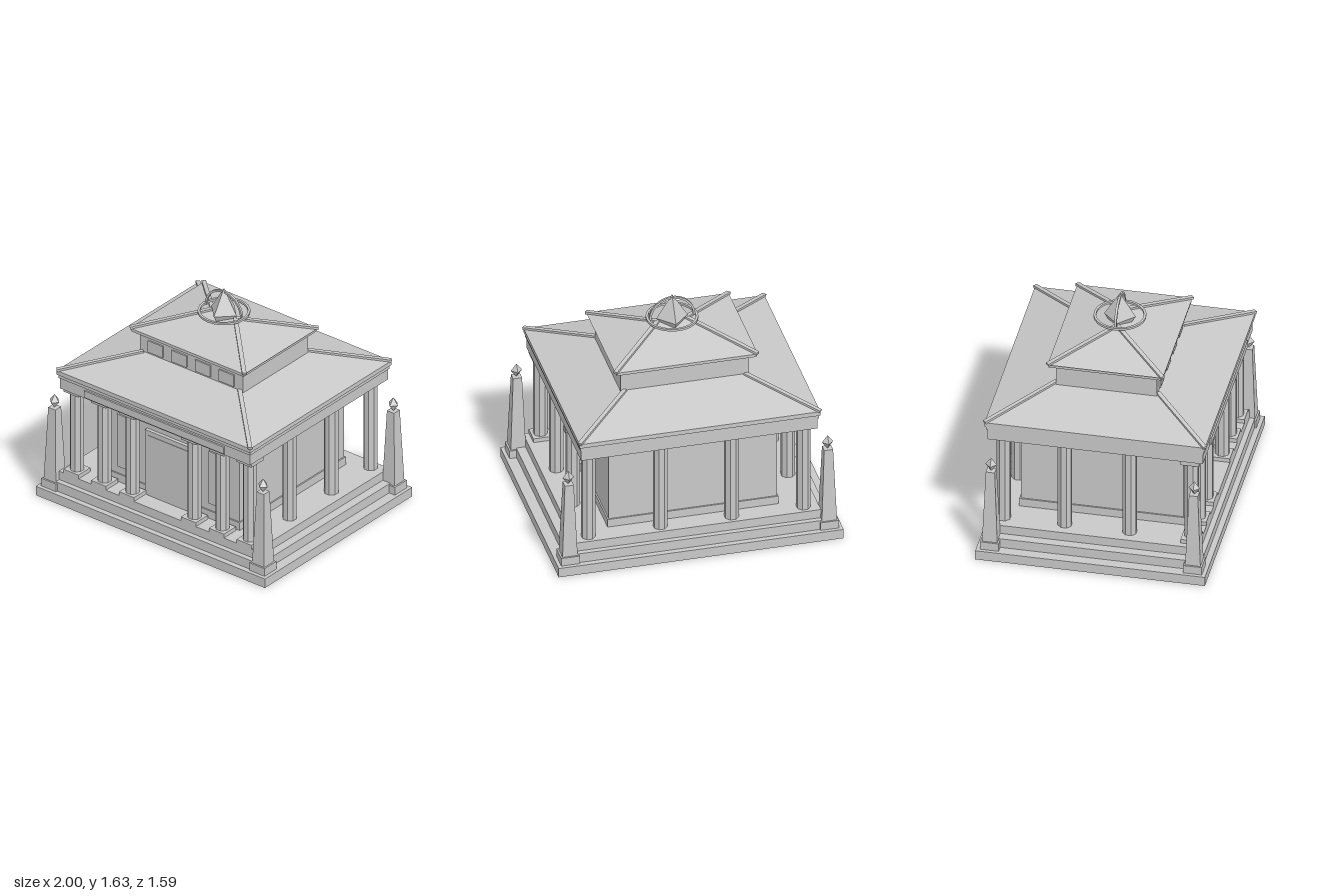
import * as THREE from 'three';

const stone = new THREE.MeshStandardMaterial({ color: 0xc8c8c8, side: THREE.DoubleSide });
stone.name = 'stone';

// Facet a geometry so every face has its own normal
function faceted(geometry) {
  const g = geometry.index ? geometry.toNonIndexed() : geometry;
  g.computeVertexNormals();
  return g;
}

export function createModel() {
  const model = new THREE.Group();
  model.name = 'pavilion';

  function add(name, geometry, x = 0, y = 0, z = 0) {
    const mesh = new THREE.Mesh(geometry, stone);
    mesh.name = name;
    mesh.position.set(x, y, z);
    model.add(mesh);
    return mesh;
  }

  // Box given by its bottom and top heights
  const block = (name, w, d, y0, y1, x = 0, z = 0) =>
    add(name, new THREE.BoxGeometry(w, y1 - y0, d), x, (y0 + y1) / 2, z);

  // Block whose top is shrunk to tw x td
  function taper(name, w, d, tw, td, y0, y1, x = 0, z = 0) {
    const g = new THREE.BoxGeometry(w, y1 - y0, d);
    const p = g.attributes.position;
    for (let i = 0; i < p.count; i++) {
      if (p.getY(i) > 0) {
        p.setX(i, Math.sign(p.getX(i)) * tw / 2);
        p.setZ(i, Math.sign(p.getZ(i)) * td / 2);
      }
    }
    return add(name, faceted(g), x, (y0 + y1) / 2, z);
  }

  // Straight bar between two points
  function bar(name, a, b, w, h) {
    const mesh = add(name, new THREE.BoxGeometry(w, h, a.distanceTo(b)));
    mesh.position.copy(a).add(b).multiplyScalar(0.5);
    mesh.lookAt(b);
  }

  // Hipped roof with a raised bar along each hip
  function roof(name, w, d, tw, td, y0, y1) {
    taper(name, w, d, tw, td, y0, y1);
    for (const sx of [-1, 1]) for (const sz of [-1, 1]) {
      bar(name + 'Hip',
        new THREE.Vector3(sx * w / 2, y0 + 0.004, sz * d / 2),
        new THREE.Vector3(sx * tw / 2, y1 + 0.002, sz * td / 2), 0.03, 0.018);
    }
  }

  // Stepped platform; the lowest step is a shell open underneath
  const base = block('basePlinth', 2, 1.594, 0, 0.07);
  const faces = Array.from(base.geometry.index.array);
  faces.splice(18, 6);
  base.geometry.setIndex(faces);
  base.geometry.clearGroups();
  block('middleStep', 1.85, 1.514, 0.07, 0.14);
  block('topStep', 1.72, 1.44, 0.14, 0.205);

  // Corner obelisks
  for (const x of [-0.91, 0.91]) for (const z of [-0.705, 0.705]) {
    block('obeliskPlinth', 0.13, 0.13, 0.07, 0.13, x, z);
    taper('obeliskShaft', 0.106, 0.106, 0.062, 0.062, 0.13, 0.685, x, z);
    add('obeliskFinial', new THREE.OctahedronGeometry(0.04), x, 0.733, z).scale.y = 1.3;
  }

  // Octagonal columns; only the front row has bases and capitals
  const shaft = faceted(new THREE.CylinderGeometry(0.05, 0.05, 0.675, 8).rotateY(Math.PI / 8));
  const column = (x, z) => add('column', shaft, x, 0.5425, z);
  for (const side of [-1, 1]) {
    for (const x of [0.27, 0.515, 0.755]) {
      column(side * x, 0.655);
      block('columnBase', 0.13, 0.13, 0.205, 0.235, side * x, 0.655);
      block('columnCapital', 0.13, 0.13, 0.845, 0.88, side * x, 0.655);
    }
    for (const x of [0.25, 0.755]) column(side * x, -0.65);
    for (const z of [-0.225, 0.225]) column(side * 0.755, z);
  }

  // Inner hall with skirting, door and windows
  block('hall', 1.18, 1.13, 0.205, 0.88);
  block('hallSkirting', 1.2, 1.15, 0.205, 0.265);
  block('door', 0.43, 0.04, 0.205, 0.71, 0, 0.57);
  block('doorPanel', 0.37, 0.02, 0.205, 0.675, 0, 0.584);
  for (const x of [-0.4, 0.4]) block('hallWindow', 0.125, 0.03, 0.33, 0.74, x, 0.572);

  // Entablature
  block('architrave', 1.66, 1.496, 0.88, 0.963);
  block('frieze', 1.675, 1.51, 0.963, 0.99);
  block('cornice', 1.69, 1.53, 0.99, 1.022);
  block('frontPlaque', 1.22, 0.03, 0.893, 0.946, 0, 0.745);

  // Lower roof, clerestory and upper roof
  roof('lowerRoof', 1.69, 1.53, 0.84, 0.7, 1.022, 1.14);
  block('clerestory', 0.9, 0.7, 1.1, 1.292);
  for (const x of [-0.31, -0.103, 0.103, 0.31]) {
    block('clerestoryWindow', 0.13, 0.03, 1.155, 1.245, x, 0.346);
  }
  block('upperCornice', 0.98, 0.79, 1.292, 1.317);
  roof('upperRoof', 1.0, 0.8, 0.2, 0, 1.317, 1.43);

  // Crowning crystal
  add('crownCrystal', new THREE.OctahedronGeometry(0.11), 0, 1.453, 0).scale.y = 1.62;

  // Flat ring around the crystal
  const ring = new THREE.Shape().absarc(0, 0, 0.18, 0, Math.PI * 2, false);
  ring.holes.push(new THREE.Path().absarc(0, 0, 0.163, 0, Math.PI * 2, true));
  const extrude = { depth: 0.016, bevelEnabled: false, curveSegments: 12 };
  const ringGeometry = new THREE.ExtrudeGeometry(ring, extrude).rotateX(-Math.PI / 2);
  add('crownRing', ringGeometry, 0, 1.444, 0);

  // Upright arch over the crystal
  const arch = new THREE.Shape();
  arch.absarc(0, 0, 0.162, 0, Math.PI, false);
  arch.absarc(0, 0, 0.147, Math.PI, 0, true);
  add('crownArch', new THREE.ExtrudeGeometry(arch, extrude), 0, 1.45, -0.008);

  return model;
}
